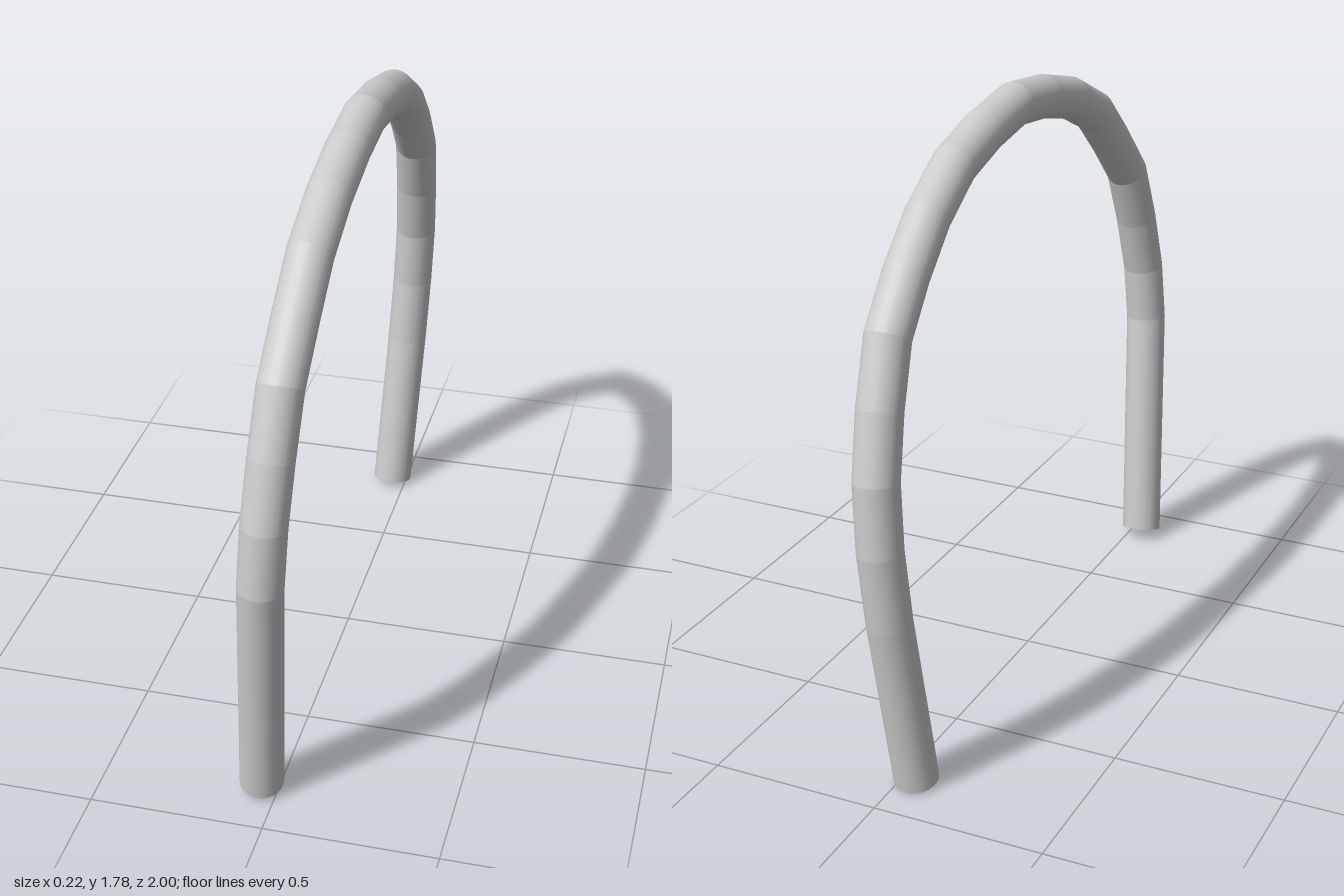
import * as THREE from 'three';

const RADIUS = 0.0635, SIDES = 24;

// Centre line of the hoop as [z, y], from the front foot over the top to the rear foot
const PATH = [
  [0.837, 0.031], [0.937, 0.77], [0.925, 0.95], [0.877, 1.13], [0.81, 1.305],
  [0.685, 1.44], [0.56, 1.56], [0.38, 1.645], [0.19, 1.693], [0, 1.715],
  [-0.2, 1.687], [-0.385, 1.64], [-0.555, 1.545], [-0.69, 1.43], [-0.81, 1.3],
  [-0.88, 1.125], [-0.928, 0.943], [-0.936, 0.75], [-0.918, 0.535], [-0.84, 0.014],
];
const LEAN = 0.0535; // sideways lean of the hoop's plane

// Turns a [z, y] pair into a vector lying in the leaning plane
const inPlane = (z, y, x0 = 0) => new THREE.Vector3(x0 + LEAN * y, y, z);

function createBentTube() {
  const centres = PATH.map(([z, y]) => inPlane(z, y, -0.047));
  const last = centres.length - 1;
  const across = new THREE.Vector3(1, -LEAN, 0).normalize();
  const dirs = centres.slice(1).map((p, i) => p.clone().sub(centres[i]).normalize());

  // Mitred cross-sections; the feet are cut slightly oblique
  const rings = centres.map((c, i) => {
    const dir = dirs[Math.min(i, last - 1)];
    const tangent = i === 0 ? inPlane(0.27, 1)
      : i === last ? inPlane(0.21, -1)
      : dirs[i - 1].clone().add(dir);
    tangent.normalize();
    const mitre = tangent.clone().cross(across).multiplyScalar(1 / tangent.dot(dir));
    return Array.from({ length: SIDES + 1 }, (_, j) => {
      const a = (j / SIDES) * Math.PI * 2;
      return c.clone()
        .addScaledVector(across, RADIUS * Math.cos(a))
        .addScaledVector(mitre, RADIUS * Math.sin(a));
    });
  });

  const positions = [], normals = [], index = [];
  const push = (p, n) => {
    positions.push(p.x, p.y, p.z);
    normals.push(n.x, n.y, n.z);
    return positions.length / 3 - 1;
  };

  // Straight segments: smooth around, creased at each bend
  dirs.forEach((dir, i) => {
    const side = dir.clone().cross(across);
    const base = positions.length / 3;
    for (let j = 0; j <= SIDES; j++) {
      const a = (j / SIDES) * Math.PI * 2;
      const n = across.clone().multiplyScalar(Math.cos(a)).addScaledVector(side, Math.sin(a));
      push(rings[i][j], n);
      push(rings[i + 1][j], n);
    }
    for (let j = 0; j < SIDES; j++) {
      const a = base + j * 2;
      index.push(a, a + 2, a + 3, a, a + 3, a + 1);
    }
  });

  // Flat caps on both feet
  for (const [i, normal] of [[0, inPlane(-0.27, -1)], [last, inPlane(0.21, -1)]]) {
    normal.normalize();
    const hub = push(centres[i], normal);
    rings[i].forEach((p) => push(p, normal));
    for (let j = 1; j <= SIDES; j++) {
      if (i === 0) index.push(hub, hub + j + 1, hub + j);
      else index.push(hub, hub + j, hub + j + 1);
    }
  }

  const geometry = new THREE.BufferGeometry();
  geometry.setAttribute('position', new THREE.Float32BufferAttribute(positions, 3));
  geometry.setAttribute('normal', new THREE.Float32BufferAttribute(normals, 3));
  geometry.setIndex(index);
  return geometry;
}

export function createModel() {
  const group = new THREE.Group();
  group.name = 'hoop';
  const tube = new THREE.Mesh(createBentTube(), new THREE.MeshStandardMaterial({ color: 0xcccccc }));
  tube.name = 'bentTube';
  group.add(tube);
  return group;
}
